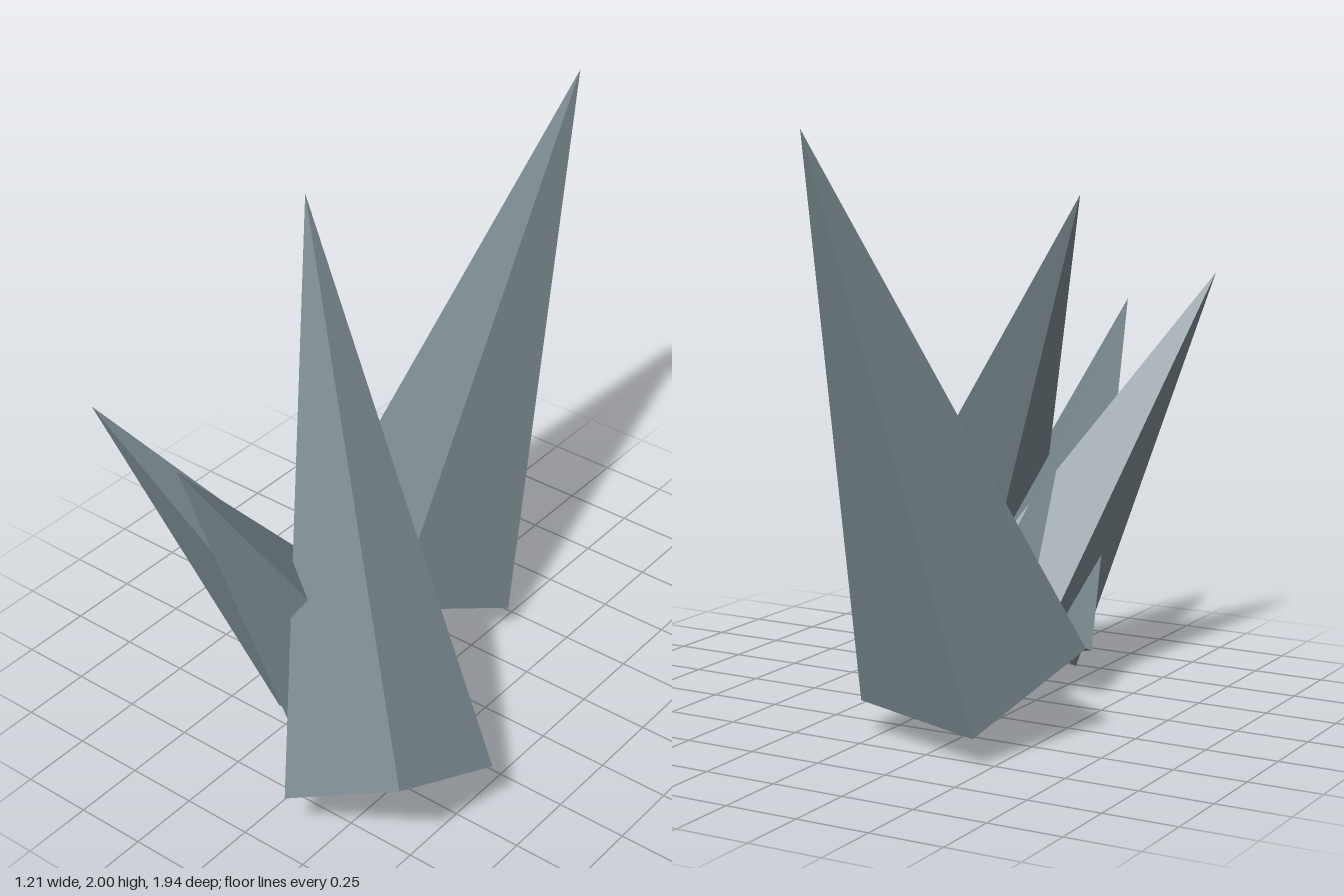
import * as THREE from 'three';

const material = new THREE.MeshStandardMaterial({ color: 0x7a898f, flatShading: true });

// Four-sided spike from its tip and two opposite corners of its square base
function spike(name, tip, cornerA, cornerB) {
  const apex = new THREE.Vector3(...tip);
  const a = new THREE.Vector3(...cornerA);
  const b = new THREE.Vector3(...cornerB);
  const centre = a.clone().add(b).multiplyScalar(0.5);
  const axis = apex.clone().sub(centre);
  const height = axis.length();
  const radius = a.distanceTo(b) / 2;

  // Orient the cone: y runs to the tip, z runs to the first corner
  const y = axis.normalize();
  const z = a.sub(centre);
  z.addScaledVector(y, -z.dot(y)).normalize();
  const x = new THREE.Vector3().crossVectors(y, z);

  const geometry = new THREE.ConeGeometry(radius, height, 4);
  geometry.translate(0, height / 2, 0);
  geometry.applyMatrix4(new THREE.Matrix4().makeBasis(x, y, z).setPosition(centre));
  const mesh = new THREE.Mesh(geometry, material);
  mesh.name = name;
  return mesh;
}

export function createModel() {
  const group = new THREE.Group();
  group.name = 'rockSpikes';
  group.add(
    // Tall spike standing apart at the back
    spike('backSpike', [-0.10, 2.0, -0.97], [-0.61, 0.29, -0.08], [0.06, 0.125, -0.40]),
    // Large leaning spike at the front
    spike('frontSpike', [-0.55, 1.77, 0.04 - 0.08], [0.57, 0.41, 0.89], [0.17, 0.005, 0.50]),
    // Two slimmer spikes crossing each other
    spike('outerSmallSpike', [-0.58, 1.44, 0.97], [0.04, 0.34, 0.18], [-0.28, 0.075, 0.50]),
    spike('innerSmallSpike', [-0.24, 1.33, 0.96], [-0.11, 0.07, 0.60], [-0.14, 0.345, 0.09])
  );
  return group;
}
